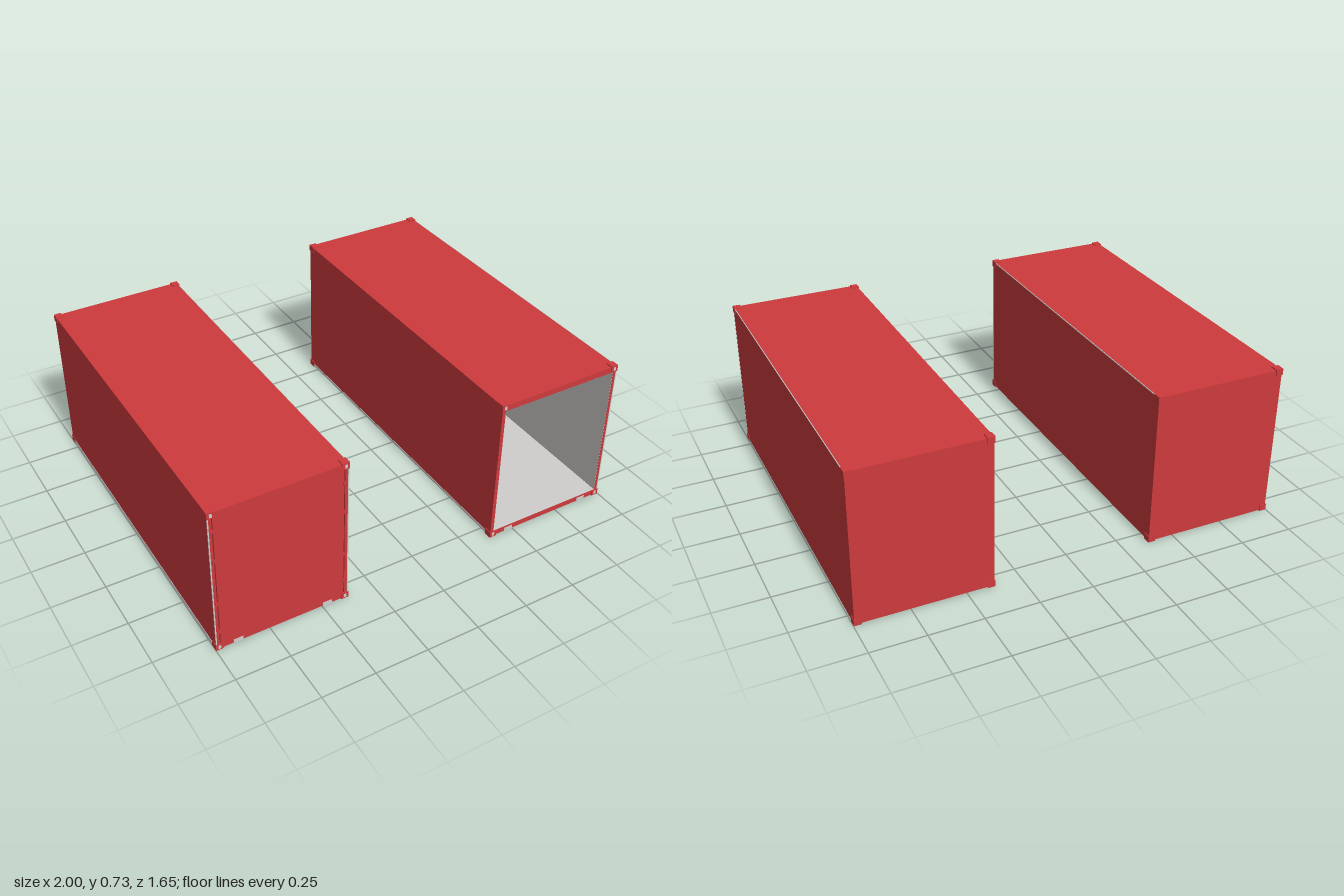
import * as THREE from 'three';

const red = new THREE.MeshStandardMaterial({ color: 0xce3a3c });
red.name = 'container red';
const grey = new THREE.MeshStandardMaterial({ color: 0xd1cfcd });
grey.name = 'interior grey';

// Overall half width, height and half length of one container
const HW = 0.313, H = 0.73, HL = 0.824;
// Body faces sit slightly inside the corner castings
const BW = HW - 0.003, BL = HL - 0.004, Y0 = 0.004, Y1 = 0.725;
// Front frame: face plane, inner edge of the posts, opening bottom and top
const FZ = BL + 0.001, POST = 0.293, SILL = 0.03, HEAD = 0.697;

// Box given by its minimum and maximum corners
function box(parent, name, mat, x0, x1, y0, y1, z0, z1) {
  const mesh = new THREE.Mesh(new THREE.BoxGeometry(x1 - x0, y1 - y0, z1 - z0), mat);
  mesh.position.set((x0 + x1) / 2, (y0 + y1) / 2, (z0 + z1) / 2);
  mesh.name = name;
  parent.add(mesh);
}

// Shell, corner castings and front frame shared by both containers
function createContainer(name, x) {
  const g = new THREE.Group();
  g.name = name;
  g.position.x = x;
  const T = 0.012;

  box(g, 'roof', red, -BW, BW, Y1 - T, Y1, -BL, BL);
  box(g, 'underside', red, -BW, BW, Y0, Y0 + T, -BL, BL);
  box(g, 'backWall', red, -BW, BW, Y0 + T, Y1 - T, -BL, -BL + T);
  box(g, 'rightWall', red, -BW, -BW + T, Y0 + T, Y1 - T, -BL + T, BL);
  box(g, 'leftWall', red, BW - T, BW, Y0 + T, Y1 - T, -BL + T, BL);
  box(g, 'lowerSideRail', grey, -BW - 0.002, -BW + 0.002, Y0, Y0 + 0.013, -0.785, 0.785);
  box(g, 'upperSideRail', grey, BW - 0.002, BW + 0.001, Y1 - 0.003, Y1 + 0.001, -0.785, 0.785);

  for (const sx of [-1, 1]) {
    // Corner castings with pale slots on the front ones
    for (const sz of [-1, 1]) {
      for (const cy of [0.015, H - 0.015]) {
        const cx = sx * (HW - 0.017), cz = sz * (HL - 0.019);
        box(g, 'cornerCasting', red, cx - 0.017, cx + 0.017, cy - 0.015, cy + 0.015, cz - 0.019, cz + 0.019);
        if (sz > 0) {
          box(g, 'castingSlot', grey, cx - 0.006, cx + 0.006, cy - 0.009, cy + 0.009, HL - 0.001, HL + 0.001);
        }
      }
    }
    // Front posts
    const px = sx * (POST + BW) / 2, half = (BW - POST) / 2;
    box(g, 'frontPost', red, px - half, px + half, SILL, HEAD, BL - 0.03, FZ);
    // Pale pockets in the door sill
    const fx = sx * 0.21;
    box(g, 'sillPocket', grey, fx - 0.022, fx + 0.022, 0.002, 0.021, BL, BL + 0.003);
  }
  box(g, 'postEdge', grey, BW - 0.004, BW + 0.001, SILL, HEAD, FZ - 0.004, FZ + 0.001);
  box(g, 'doorHeader', red, -BW, BW, HEAD, Y1, BL - 0.03, FZ);
  box(g, 'doorSill', red, -BW, BW, Y0, SILL, BL - 0.03, FZ);
  return g;
}

// Flush door with small hinges along both posts
function addClosedDoor(g) {
  box(g, 'door', red, -0.289, 0.289, SILL, HEAD, BL - 0.02, FZ);
  for (const hx of [-0.291, 0.291]) {
    for (const y of [0.1, 0.25, 0.48, 0.63]) {
      box(g, 'hinge', red, hx - 0.008, hx + 0.008, y - 0.008, y + 0.008, BL - 0.01, BL + 0.003);
    }
  }
  box(g, 'doorSeal', grey, -BW - 0.001, -BW + 0.004, SILL, HEAD, FZ - 0.004, FZ + 0.001);
}

// Pale lining of the open container
function addLining(g) {
  const w = 0.297, z0 = -0.807, z1 = BL - 0.03, t = 0.004;
  box(g, 'floorLining', grey, -w, w, SILL - t, SILL, z0, z1);
  box(g, 'ceilingLining', grey, -w, w, 0.704, 0.708, z0, z1);
  box(g, 'backLining', grey, -w, w, SILL, 0.704, z0, z0 + t);
  for (const s of [-1, 1]) {
    const x = s * (w - t / 2);
    box(g, 'sideLining', grey, x - t / 2, x + t / 2, SILL, 0.704, z0 + t, z1);
    // Pale inner faces of the front posts
    const p = s * (POST - 0.0005);
    box(g, 'postLining', grey, p - 0.0008, p + 0.0008, SILL, HEAD, BL - 0.03, BL);
  }
  // Pale faces of the sill and header inside the opening
  box(g, 'sillLining', grey, -POST, POST, SILL, SILL + 0.001, BL - 0.03, BL);
  box(g, 'headerLining', grey, -POST, POST, HEAD - 0.001, HEAD, BL - 0.03, BL);
}

export function createModel() {
  const model = new THREE.Group();
  model.name = 'containers';
  const closed = createContainer('closedContainer', -0.687);
  addClosedDoor(closed);
  const open = createContainer('openContainer', 0.685);
  addLining(open);
  model.add(closed, open);
  return model;
}
